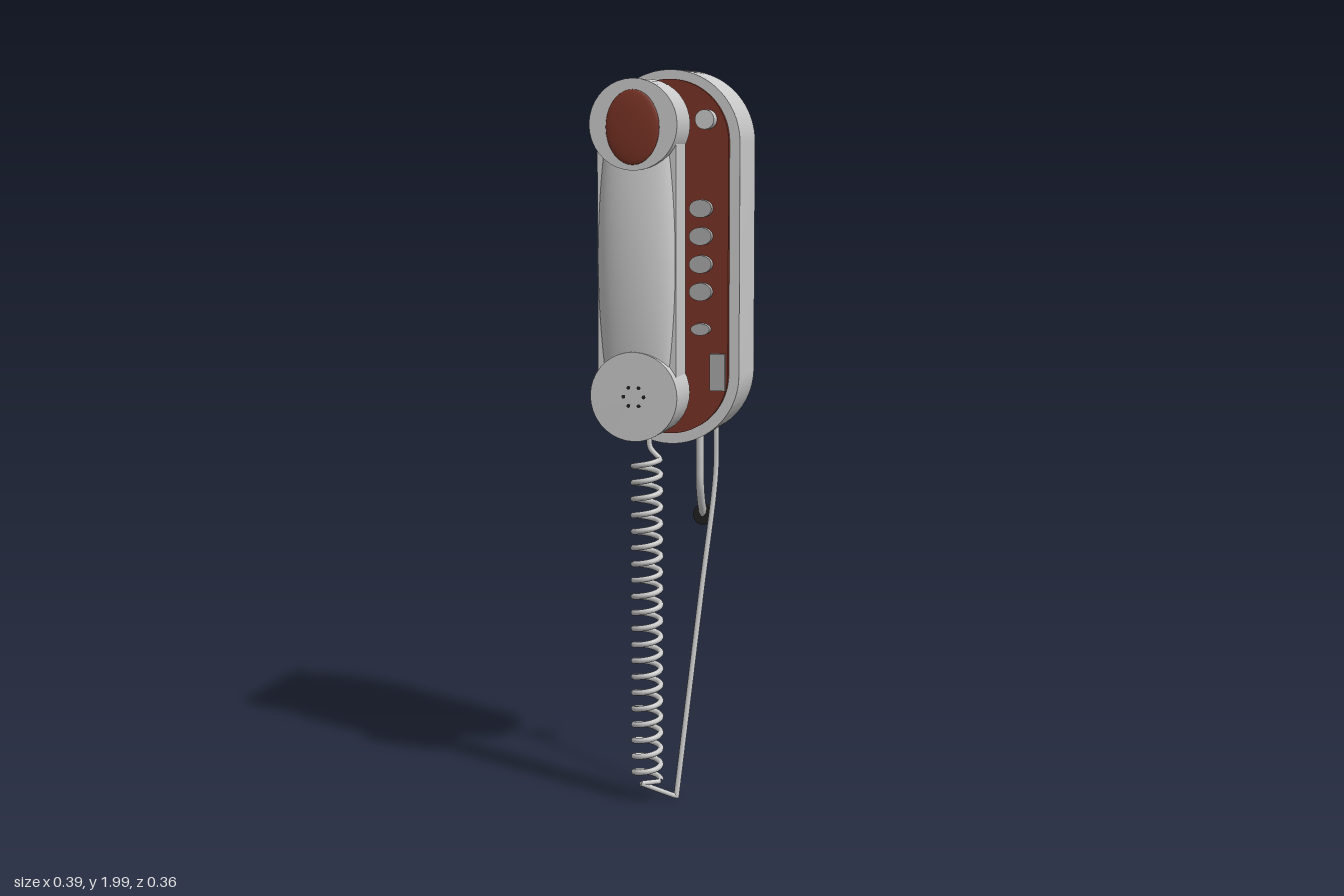
import * as THREE from 'three';
import { toCreasedNormals } from 'three/addons/utils/BufferGeometryUtils.js';
import { ParametricGeometry } from 'three/addons/geometries/ParametricGeometry.js';

const V = (x, y, z) => new THREE.Vector3(x, y, z);
const mat = (color) => new THREE.MeshStandardMaterial({ color });

export function createModel() {
  const model = new THREE.Group();
  const shell = mat(0xcccccc), red = mat(0x7a3325), keyGrey = mat(0xaaaaaa), black = mat(0x222222);

  const add = (name, geometry, material, parent = model) => {
    const mesh = new THREE.Mesh(geometry, material);
    mesh.name = name;
    parent.add(mesh);
    return mesh;
  };

  // Upright capsule outline extruded between two depths
  const capsule = (x, yLow, yHigh, r, z0, z1) => {
    const s = new THREE.Shape();
    s.absarc(x, yHigh - r, r, 0, Math.PI);
    s.absarc(x, yLow + r, r, Math.PI, Math.PI * 2);
    s.closePath();
    const g = new THREE.ExtrudeGeometry(s, { depth: z1 - z0, bevelEnabled: false, curveSegments: 28 });
    g.translate(0, 0, z0);
    return toCreasedNormals(g, 0.6);
  };

  // Round or oval peg pointing forward
  const peg = (name, x, y, rx, ry, z0, z1, material, parent) => {
    const g = new THREE.CylinderGeometry(1, 1, z1 - z0, 36);
    g.rotateX(Math.PI / 2);
    g.scale(rx, ry, 1);
    g.translate(x, y, (z0 + z1) / 2);
    return add(name, g, material, parent);
  };

  // Wall body and face plate
  add('body', capsule(0, 0.99, 2, 0.193, -0.18, 0), shell);
  add('facePlate', capsule(0, 1.02, 1.975, 0.165, 0, 0.013), red);

  // Keypad: three columns, four rows
  const keypad = new THREE.Group();
  keypad.name = 'keypad';
  model.add(keypad);
  for (const x of [-0.1, -0.004, 0.092])
    for (const y of [1.632, 1.558, 1.483, 1.409]) peg('key', x, y, 0.031, 0.024, 0.01, 0.033, keyGrey, keypad);
  peg('ovalButton', 0.092, 1.308, 0.026, 0.016, 0.01, 0.032, keyGrey);
  peg('hookButton', 0.107, 1.868, 0.026, 0.026, 0.01, 0.048, shell);
  const slider = add('sliderSwitch', new THREE.BoxGeometry(0.042, 0.1, 0.016), keyGrey);
  slider.position.set(0.138, 1.192, 0.018);

  // Handset
  const handset = new THREE.Group();
  handset.name = 'handset';
  model.add(handset);
  const hx = -0.055, earY = 1.855, mouthY = 1.137;
  peg('earCup', hx, earY, 0.12, 0.12, 0.035, 0.17, shell, handset);
  peg('mouthCup', hx, mouthY, 0.12, 0.12, 0.035, 0.17, shell, handset);
  const bar = add('handleBase', new THREE.BoxGeometry(0.216, earY - mouthY, 0.1), shell, handset);
  bar.position.set(hx, (earY + mouthY) / 2, 0.086);

  // Bulging grip, elliptical across and bowed along its length
  const grip = (u, v, p) => {
    const t = v * 2 - 1, a = Math.PI * (1 - u);
    p.set(
      hx + Math.cos(a) * (0.106 - 0.02 * t * t),
      1.496 + t * 0.315,
      0.135 + Math.sin(a) * (0.043 - 0.021 * t * t)
    );
  };
  const gripMat = mat(0xcccccc);
  gripMat.side = THREE.DoubleSide;
  add('grip', new ParametricGeometry(grip, 24, 24), gripMat, handset);

  // Domed ear pad and ring of microphone holes
  const pad = add('earPad', new THREE.SphereGeometry(1, 36, 12, 0, Math.PI * 2, 0, Math.PI / 2).rotateX(Math.PI / 2), red, handset);
  pad.scale.set(0.073, 0.098, 0.009);
  pad.position.set(hx - 0.001, 1.848, 0.17);
  for (let i = 0; i < 6; i++) {
    const a = (i * Math.PI) / 3;
    peg('microphoneHole', hx + 0.028 * Math.cos(a), mouthY + 0.028 * Math.sin(a), 0.005, 0.005, 0.165, 0.1708, black, handset);
  }

  // Coiled cord hanging from the handset
  const coil = [V(-0.035, 1.03, 0.092), V(-0.03, 0.99, 0.092)];
  const turns = 20, steps = 16;
  for (let i = 0; i <= turns * steps; i++) {
    const a = (i / steps) * Math.PI * 2;
    coil.push(V(-0.04 + 0.037 * Math.cos(a), 0.96 - (0.9 * i) / (turns * steps), 0.092 + 0.037 * Math.sin(a)));
  }
  add('coiledCord', new THREE.TubeGeometry(new THREE.CatmullRomCurve3(coil), 900, 0.008, 8), shell);

  // Straight cord returning to the base of the body
  const path = (points) => {
    const c = new THREE.CurvePath();
    for (let i = 1; i < points.length; i++) c.add(new THREE.LineCurve3(points[i - 1], points[i]));
    return c;
  };
  add('cordLink', new THREE.TubeGeometry(path([V(-0.003, 0.06, 0.092), V(-0.05, 0.06, 0.125), V(0.035, 0.012, 0.065)]), 24, 0.007, 8), shell);
  const lead = new THREE.CatmullRomCurve3([
    V(0.035, 0.008, 0.065), V(0.058, 0.3, 0.012), V(0.082, 0.6, -0.042),
    V(0.102, 0.84, -0.088), V(0.106, 0.92, -0.097), V(0.106, 1.04, -0.097),
  ]);
  add('straightCord', new THREE.TubeGeometry(lead, 60, 0.008, 8), shell);

  // Wall lead with its dark plug
  const wall = new THREE.CatmullRomCurve3([
    V(0.055, 1.04, -0.117), V(0.055, 0.92, -0.117), V(0.054, 0.86, -0.122), V(0.052, 0.81, -0.144), V(0.051, 0.768, -0.17),
  ]);
  add('wallLead', new THREE.TubeGeometry(wall, 40, 0.012, 10), shell);
  peg('wallPlug', 0.051, 0.766, 0.027, 0.029, -0.18, -0.16, black);

  return model;
}
